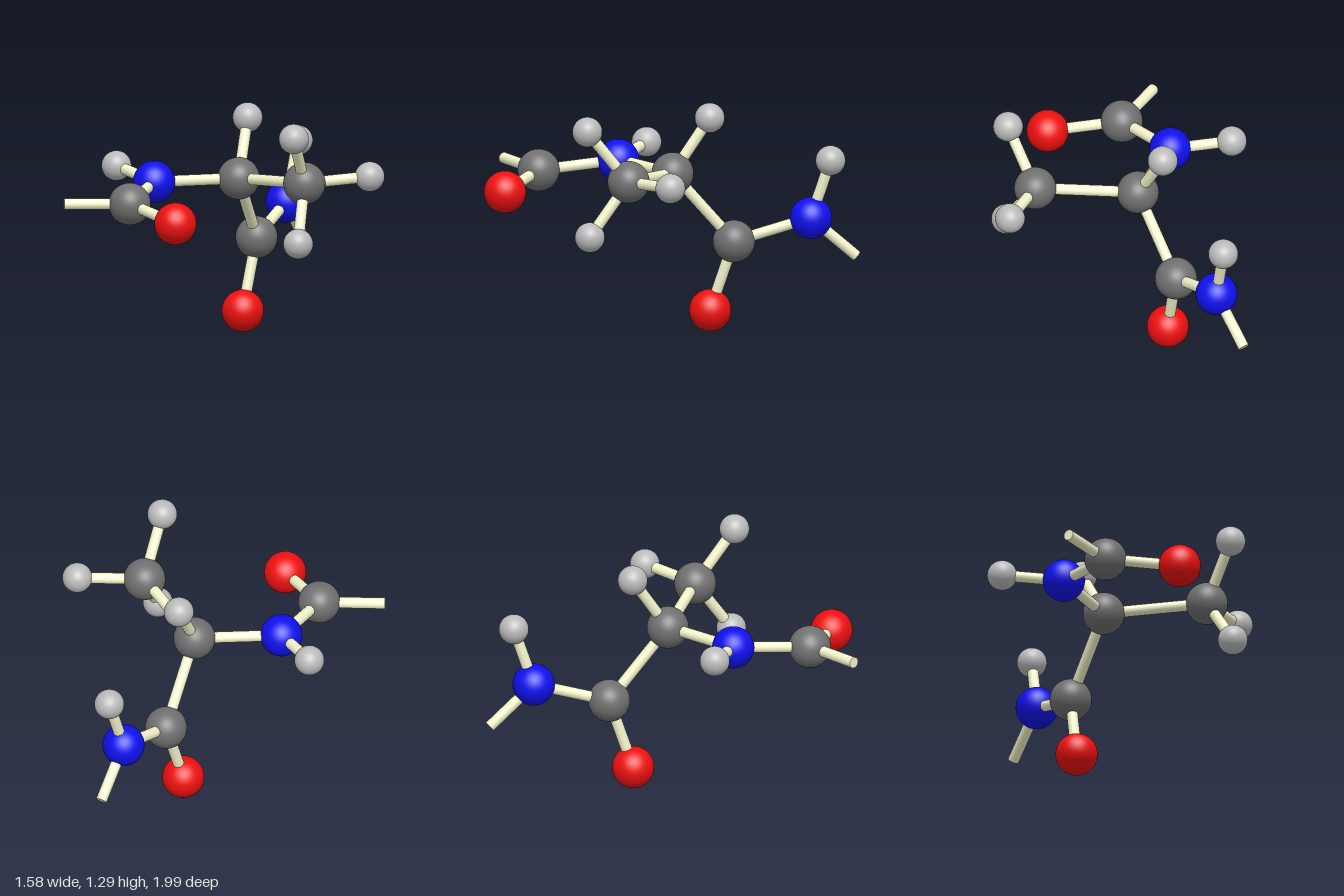
import * as THREE from 'three';

const BOND_RADIUS = 0.03;

// Element styles: radius and colour
const elements = {
  carbon: { radius: 0.113, color: 0x707070 },
  nitrogen: { radius: 0.113, color: 0x1010ee },
  oxygen: { radius: 0.113, color: 0xee1010 },
  hydrogen: { radius: 0.08, color: 0xbbbbbb },
};

// Atom centres: [element, x, y, z]
const atoms = {
  alphaCarbon: ['carbon', -0.07, 0.876, -0.005],
  methylCarbon: ['carbon', 0.446, 0.928, 0.187],
  frontCarbon: ['carbon', -0.315, 0.833, 0.735],
  backCarbon: ['carbon', -0.146, 0.497, -0.327],
  frontNitrogen: ['nitrogen', -0.407, 0.877, 0.316],
  backNitrogen: ['nitrogen', -0.197, 0.621, -0.736],
  frontOxygen: ['oxygen', 0.053, 0.784, 0.884],
  backOxygen: ['oxygen', -0.157, 0.117, -0.199],
  alphaHydrogen: ['hydrogen', -0.127, 1.171, -0.199],
  frontAmideHydrogen: ['hydrogen', -0.712, 0.917, 0.19],
  backAmideHydrogen: ['hydrogen', -0.188, 0.937, -0.842],
  methylHydrogenTop: ['hydrogen', 0.506, 1.209, 0.403],
  methylHydrogenSide: ['hydrogen', 0.707, 0.949, -0.06],
  methylHydrogenBottom: ['hydrogen', 0.524, 0.638, 0.388],
};

// Free ends of the two open chain bonds
const ends = {
  frontChainEnd: [-0.598, 0.84, 0.947],
  backChainEnd: [-0.247, 0.408, -0.976],
};

const bonds = [
  ['alphaCarbon', 'methylCarbon'],
  ['alphaCarbon', 'frontNitrogen'],
  ['alphaCarbon', 'backCarbon'],
  ['alphaCarbon', 'alphaHydrogen'],
  ['frontNitrogen', 'frontCarbon'],
  ['frontNitrogen', 'frontAmideHydrogen'],
  ['frontCarbon', 'frontOxygen'],
  ['frontCarbon', 'frontChainEnd'],
  ['backCarbon', 'backOxygen'],
  ['backCarbon', 'backNitrogen'],
  ['backNitrogen', 'backAmideHydrogen'],
  ['backNitrogen', 'backChainEnd'],
  ['methylCarbon', 'methylHydrogenTop'],
  ['methylCarbon', 'methylHydrogenSide'],
  ['methylCarbon', 'methylHydrogenBottom'],
];

function position(name) {
  return new THREE.Vector3(...(ends[name] ?? atoms[name].slice(1)));
}

// Capped rod running between two points
function makeBond(from, to, material) {
  const a = position(from);
  const b = position(to);
  const axis = b.clone().sub(a);
  const geometry = new THREE.CylinderGeometry(BOND_RADIUS, BOND_RADIUS, axis.length(), 20);
  const mesh = new THREE.Mesh(geometry, material);
  mesh.position.copy(a).add(b).multiplyScalar(0.5);
  mesh.quaternion.setFromUnitVectors(new THREE.Vector3(0, 1, 0), axis.normalize());
  mesh.name = `bond ${from} to ${to}`;
  return mesh;
}

export function createModel() {
  const model = new THREE.Group();
  model.name = 'ballAndStickMolecule';

  // One shared sphere and material per element
  const kinds = {};
  for (const [name, { radius, color }] of Object.entries(elements)) {
    kinds[name] = {
      geometry: new THREE.SphereGeometry(radius, 40, 28),
      material: new THREE.MeshStandardMaterial({ color }),
    };
  }

  // Atoms
  const atomGroup = new THREE.Group();
  atomGroup.name = 'atoms';
  for (const [name, [element]] of Object.entries(atoms)) {
    const { geometry, material } = kinds[element];
    const atom = new THREE.Mesh(geometry, material);
    atom.position.copy(position(name));
    atom.name = name;
    atomGroup.add(atom);
  }

  // Bonds
  const bondGroup = new THREE.Group();
  bondGroup.name = 'bonds';
  const bondMaterial = new THREE.MeshStandardMaterial({ color: 0xf5f5cc });
  for (const [from, to] of bonds) bondGroup.add(makeBond(from, to, bondMaterial));

  model.add(atomGroup, bondGroup);
  return model;
}
